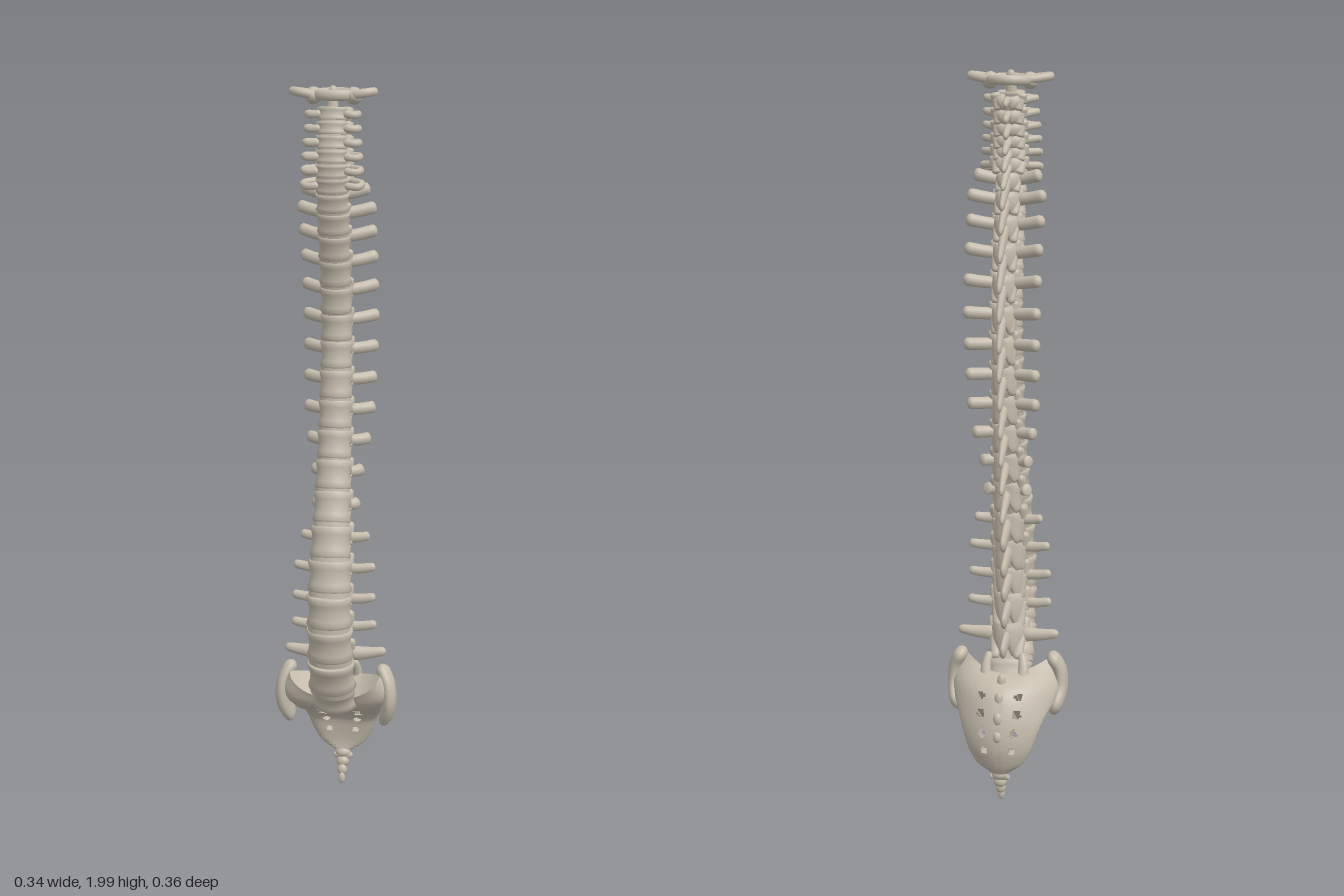
import * as THREE from 'three';
import { toCreasedNormals, mergeVertices } from 'three/addons/utils/BufferGeometryUtils.js';

const bone = new THREE.MeshStandardMaterial({ color: 0xc4bbac });
bone.name = 'bone';
const V = (x, y, z) => new THREE.Vector3(x, y, z);

// Linear lookup in a list of [y, value] pairs, y falling
function at(keys, y) {
  for (let i = 1; i < keys.length; i++) {
    const [y0, a] = keys[i - 1], [y1, b] = keys[i];
    if (y >= y1 || i === keys.length - 1) {
      return THREE.MathUtils.lerp(a, b, THREE.MathUtils.clamp((y0 - y) / (y0 - y1), 0, 1));
    }
  }
}

// Proportions along the column: centre line, body size, reach of the arms
const lineZ = [[2, .055], [1.92, .066], [1.85, .078], [1.78, .082], [1.7, .068], [1.6, .042], [1.5, .016], [1.4, 0],
  [1.3, -.003], [1.2, .008], [1.1, .022], [1, .042], [.9, .067], [.8, .097], [.7, .118], [.6, .128], [.5, .118], [.4, .088], [.3, .035]];
const halfWidth = [[1.92, .038], [1.7, .045], [1.35, .043], [1.04, .048], [.875, .053], [.7, .061], [.4, .067]];
const halfDepth = [[1.92, .022], [1.74, .026], [1.5, .034], [1.2, .038], [.875, .044], [.6, .05], [.4, .048]];
const spineTip = [[1.92, -.04], [1.85, -.038], [1.74, -.08], [1.64, -.117], [1.5, -.144], [1.275, -.147], [1.12, -.127],
  [.96, -.107], [.785, -.087], [.6, -.072], [.5, -.074], [.4, -.092]];
const spineDrop = [[1.92, .015], [1.82, .03], [1.74, .045], [1.5, .072], [1.3, .085], [.875, .08], [.695, .05], [.6, .025], [.4, -.015]];
const crossSpan = [[1.92, .07], [1.74, .082], [1.695, .09], [1.64, .105], [1.35, .102], [1.12, .096], [1.04, .085],
  [.96, .066], [.875, .056], [.785, .095], [.695, .113], [.5, .118], [.4, .143]];
const crossBack = [[1.74, -.03], [1.695, -.07], [1.35, -.1], [1.04, -.09], [.875, -.08], [.4, -.085]];

function add(group, name, geo) {
  const m = new THREE.Mesh(geo, bone);
  m.name = name;
  group.add(m);
  return m;
}

function ball(group, name, p, rx, ry, rz) {
  const m = add(group, name, new THREE.SphereGeometry(1, 16, 12));
  m.position.copy(p);
  m.scale.set(rx, ry, rz);
  return m;
}

// Rounded bar along a curve; a = radii sideways, b = radii upward
function limb(pts, a, b, N = 12, R = 12) {
  const curve = new THREE.CatmullRomCurve3(pts), pos = [], idx = [];
  const dir = pts[pts.length - 1].clone().sub(pts[0]).normalize();
  const ref = Math.abs(dir.y) > .8 ? V(0, 0, 1) : V(0, 1, 0);
  const mix = (r, t) => r[0] + (r[1] - r[0]) * t;
  for (let i = 0; i <= N; i++) {
    const t = .5 - .5 * Math.cos(Math.PI * i / N);
    const c = curve.getPoint(t), tan = curve.getTangent(t);
    const s = ref.clone().cross(tan).normalize(), n = tan.clone().cross(s);
    const k = Math.sqrt(Math.max(0, 1 - Math.max(0, (Math.abs(2 * t - 1) - .75) / .25) ** 2));
    for (let j = 0; j < R; j++) {
      const f = 2 * Math.PI * j / R;
      const p = c.clone().addScaledVector(s, k * mix(a, t) * Math.cos(f)).addScaledVector(n, k * mix(b, t) * Math.sin(f));
      pos.push(p.x, p.y, p.z);
      if (i < N) {
        const q = i * R + j, r = i * R + (j + 1) % R;
        idx.push(q, r, r + R, q, r + R, q + R);
      }
    }
  }
  const g = new THREE.BufferGeometry();
  g.setAttribute('position', new THREE.Float32BufferAttribute(pos, 3));
  g.setIndex(idx);
  g.computeVertexNormals();
  return g;
}

// Waisted block with a flattened back
function bodyGeometry() {
  const prof = [[0, -1], [.93, -1], [1, -.88], [.92, -.5], [.87, 0], [.92, .5], [1, .88], [.93, 1], [0, 1]];
  const g = new THREE.LatheGeometry(prof.map(p => new THREE.Vector2(...p)), 28);
  const p = g.attributes.position;
  for (let i = 0; i < p.count; i++) {
    if (p.getZ(i) < 0) p.setZ(i, p.getZ(i) * (.8 + .15 * p.getX(i) ** 2));
  }
  return toCreasedNormals(g, .8);
}

const tiltAt = y => Math.atan((at(lineZ, y + .04) - at(lineZ, y - .04)) / .08);
const body = bodyGeometry();

function vertebra(y, gap) {
  const g = new THREE.Group();
  const neck = y > 1.72, lumbar = y < .8;
  const w = at(halfWidth, y), d = at(halfDepth, y), z = at(lineZ, y), tilt = tiltAt(y);
  const s = gap / Math.cos(tilt), C = Math.cos(tilt), S = Math.sin(tilt);
  const P = (x, up, f) => V(x, y + up * C - f * S, z + up * S + f * C);

  const b = add(g, 'vertebralBody', body);
  b.position.set(0, y, z);
  b.scale.set(w, s * .45, d);
  b.rotation.x = tilt;
  const disc = add(g, 'disc', new THREE.CylinderGeometry(.93, .93, 1, 28));
  disc.position.copy(P(0, -s / 2, 0));
  disc.scale.set(w, s * .2, d * .97);
  disc.rotation.x = tilt;

  // Blade pointing back
  const back = -d - (lumbar ? .06 : neck ? .038 : .047);
  const tip = V(0, y - at(spineDrop, y), at(spineTip, y));
  const root = P(0, 0, back + .012);
  const tall = lumbar ? .026 : neck ? .013 : .022;
  add(g, 'spinousBlade', limb([root, root.clone().lerp(tip, .5).add(V(0, .006, 0)), tip],
    [.014, lumbar ? .009 : .007], [tall, lumbar ? .022 : neck ? .01 : .013]));

  const span = at(crossSpan, y), cb = at(crossBack, y);
  for (const m of [1, -1]) {
    const px = m * w * (neck ? .85 : .62), pz = -d - (lumbar ? .028 : .018);
    add(g, 'pedicle', limb([P(m * w * .6, s * .14, -d * .4), P(px, s * .14, pz)], [.012, .012], [s * .21, s * .21]));
    // Roof plate over the canal
    add(g, 'lamina', limb([P(px, s * .06, pz + .004), P(px * .6, -s * .04, (pz + back) / 2 - .006), P(0, -s * .14, back)],
      [.011, .01], [s * .42, s * .5]));
    // Joint pillars reaching the neighbours above and below
    const fr = lumbar ? .014 : neck ? .014 : .012;
    add(g, 'upperFacet', limb([P(px, -s * .1, pz), P(px * 1.1, s * .58, pz - .004)], [fr, fr], [.013, .01]));
    add(g, 'lowerFacet', limb([P(px * .9, s * .15, pz - .006), P(px * .75, -s * .6, pz - .018)], [fr, fr], [.012, .01]));
    // Side arms: paired bars in the neck, single arms below
    if (neck) {
      add(g, 'frontTransverseBar', limb([P(m * w * .75, 0, .006), P(m * span * .85, -.003, .004), P(m * span, .002, -.012)], [.007, .008], [.01, .009]));
      add(g, 'rearTransverseBar', limb([P(px, 0, pz), P(m * span, .002, -.012)], [.008, .008], [.011, .009]));
    } else {
      const wide = y < .45 ? .018 : .011;
      add(g, 'transverseArm', limb([P(px * .8, s * .1, pz), P(m * (w * .5 + span * .4), .011, pz + (cb - pz) * .45), P(m * span, .017, cb)],
        lumbar ? [wide, .01] : [.013, .015], lumbar ? [wide + .005, .012] : [.016, .017]));
    }
  }
  return g;
}

// Ring bone at the top, with the peg that rises into it
function topRing() {
  const g = new THREE.Group(), y = 1.97;
  add(g, 'peg', limb([V(0, 1.91, .066), V(0, 1.95, .063), V(0, 1.994, .056)], [.018, .011], [.015, .011]));
  add(g, 'frontArch', limb([V(-.055, y, .055), V(-.027, y, .076), V(0, y, .081), V(.027, y, .076), V(.055, y, .055)], [.009, .009], [.014, .014]));
  add(g, 'rearArch', limb([V(-.055, y, .045), V(-.046, y, .012), V(0, y + .002, -.018), V(.046, y, .012), V(.055, y, .045)], [.011, .011], [.013, .013], 20));
  for (const m of [1, -1]) {
    ball(g, 'lateralMass', V(m * .053, y - .003, .046), .022, .023, .032).rotation.z = m * .3;
    add(g, 'frontWing', limb([V(m * .05, y, .068), V(m * .086, y + .006, .068), V(m * .114, y + .01, .05)], [.01, .01], [.012, .011]));
    add(g, 'rearWing', limb([V(m * .045, y, .02), V(m * .08, y + .004, .032), V(m * .114, y + .01, .05)], [.011, .01], [.011, .011]));
  }
  return g;
}

// Curved shield with paired through-holes, made as front and back sheets
function sacrumGeometry() {
  // front: half width, y, z   rear: forward sweep of the wings, y, z
  const front = [[.125, .31, .035], [.15, .275, .012], [.142, .245, -.045], [.12, .222, -.085], [.103, .195, -.11], [.087, .158, -.12], [.062, .12, -.125], [.026, .095, -.124]];
  const rear = [[.045, .355, -.06], [.055, .345, -.1], [.045, .322, -.138], [.025, .275, -.163], [.016, .218, -.176], [.012, .165, -.176], [.006, .118, -.162], [0, .09, -.148]];
  const cf = new THREE.CatmullRomCurve3(front.map(p => V(...p))), cr = new THREE.CatmullRomCurve3(rear.map(p => V(...p)));
  const NU = 56, NV = 70, pos = [];
  const uAt = i => Math.sin(Math.PI * (i / NU - .5));
  const point = (i, j, side) => {
    const u = uAt(i), v = j / NV, F = cf.getPoint(v), B = cr.getPoint(v);
    const full = side > 0 ? Math.sqrt(Math.max(0, 1 - u ** 4)) : Math.max(0, 1 - Math.abs(u) ** 1.8) ** .75;
    const k = .5 + .5 * side * full;
    const lift = .05 * Math.max(0, 1 - v * 3);
    return [F.x * u, B.y + (F.y - B.y) * k + lift * u * u, B.z + (F.z - B.z) * k + B.x * u * u];
  };
  const holes = [[.052, .3], [.05, .43], [.044, .565], [.038, .7]];
  const solid = (i, j) => {
    if (j < 0 || j >= NV) return false;
    const v = (j + .5) / NV, x = Math.abs(uAt(i + .5)) * cf.getPoint(v).x;
    return !holes.some(([hx, hv]) => ((x - hx) / .011) ** 2 + ((v - hv) / .03) ** 2 < 1);
  };
  const quad = (a, b, c, d) => pos.push(...a, ...b, ...c, ...a, ...c, ...d);
  for (let i = 0; i < NU; i++) for (let j = 0; j < NV; j++) {
    if (!solid(i, j)) continue;
    const c = [[i, j], [i, j + 1], [i + 1, j + 1], [i + 1, j]];
    const f = c.map(p => point(...p, 1)), r = c.map(p => point(...p, -1));
    quad(...f);
    quad(r[3], r[2], r[1], r[0]);
    [[i - 1, j], [i, j + 1], [i + 1, j], [i, j - 1]].forEach(([a, b], e) => {
      if (a < 0 || a >= NU || solid(a, b)) return;
      const n = (e + 1) % 4;
      quad(f[n], f[e], r[e], r[n]);
    });
  }
  const g = new THREE.BufferGeometry();
  g.setAttribute('position', new THREE.Float32BufferAttribute(pos, 3));
  return toCreasedNormals(mergeVertices(g, 1e-5), 1);
}

function pelvisEnd() {
  const g = new THREE.Group();
  add(g, 'sacrum', sacrumGeometry());
  const base = add(g, 'sacralBase', body);
  base.position.set(0, .322, .032);
  base.scale.set(.064, .034, .046);
  base.rotation.x = .5;
  // Ridge of bumps down the back
  [[.345, -.1], [.31, -.143], [.26, -.166], [.21, -.173]].forEach(([y, z], i) =>
    ball(g, 'crestBump', V(0, y, z), .012, .022 - i * .002, .01));
  for (const m of [1, -1]) {
    // Ear-shaped side wing
    add(g, 'sideWing', limb([V(m * .122, .402, -.012), V(m * .146, .355, .006), V(m * .15, .295, .006), V(m * .132, .232, -.035)],
      [.019, .02], [.026, .04], 18, 16));
    add(g, 'sacralFacet', limb([V(m * .05, .32, -.06), V(m * .052, .37, -.045), V(m * .045, .405, -.028)], [.018, .01], [.016, .009]));
    add(g, 'tailHorn', limb([V(m * .006, .075, -.128), V(m * .028, .078, -.133)], [.008, .005], [.01, .007]));
  }
  // Tailbone segments
  [[.085, -.132, .022], [.06, -.124, .018], [.038, -.114, .014], [.016, -.105, .01]].forEach(([y, z, r]) =>
    ball(g, 'tailbone', V(0, y, z), r, .016, r * .7));
  return g;
}

export function createModel() {
  const model = new THREE.Group();
  model.name = 'spinalColumn';
  const levels = [1.922, 1.886, 1.85, 1.814, 1.778, 1.74, 1.695, 1.64, 1.575, 1.505, 1.43, 1.355, 1.28, 1.2, 1.12, 1.04, .96, .875, .785, .695, .6, .505, .405];
  levels.forEach((y, i) => {
    const gap = ((levels[i - 1] ?? 1.958) - (levels[i + 1] ?? .315)) / 2;
    const v = vertebra(y, gap);
    v.name = 'vertebra' + (i + 2);
    model.add(v);
  });
  const ring = topRing(), end = pelvisEnd();
  ring.name = 'topVertebra';
  end.name = 'sacrumAndTailbone';
  model.add(ring, end);
  return model;
}
